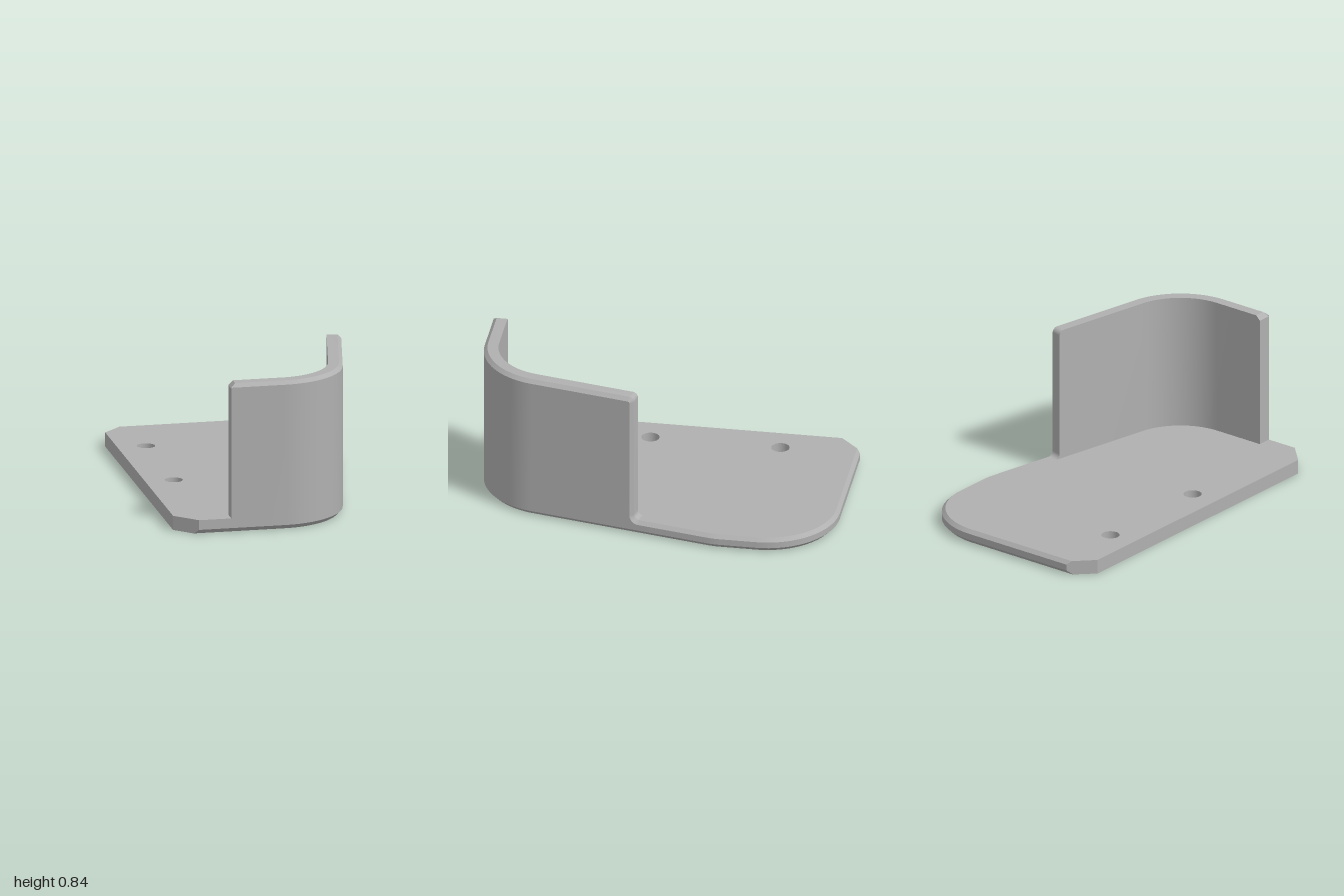
import * as THREE from 'three';
import { toCreasedNormals } from 'three/addons/utils/BufferGeometryUtils.js';

const T = 0.08;            // plate and wall thickness
const TILT = Math.atan(0.2);
const WALL_START = 0.18, WALL_END = 1.623; // wall extent along the outline

// Outline from the front left corner, round the right side, to the back left corner
const line = (x0, z0, x1, z1) => {
  const len = Math.hypot(x1 - x0, z1 - z0);
  const n = [-(z1 - z0) / len, (x1 - x0) / len];
  return { len, at: t => ({ p: [x0 + (x1 - x0) * t, z0 + (z1 - z0) * t], n }) };
};
const arc = (cx, cz, r, a0, a1) => ({
  len: r * Math.abs(a1 - a0), curved: true,
  at: t => {
    const a = a0 + (a1 - a0) * t, n = [Math.cos(a), Math.sin(a)];
    return { p: [cx + r * n[0], cz + r * n[1]], n };
  },
});
const c = 0.4 * Math.cos(TILT), k = 0.4 * Math.sin(TILT);
const pieces = [
  line(-0.48, 1, 0, 1),
  arc(0, 0.6, 0.4, Math.PI / 2, TILT),
  line(c, 0.6 + k, 0.2 + c, -0.4 + k),
  arc(0.2, -0.4, 0.4, TILT, 0),
  line(0.6, -0.4, 0.6, -0.6),
  arc(0.2, -0.6, 0.4, 0, -Math.PI / 2),
  line(0.2, -1, -0.48, -1),
];
const TOTAL = pieces.reduce((sum, p) => sum + p.len, 0);

// Point at distance s along the outline, inset by d, at height y
function point(s, d, y) {
  if (s <= 0) return [-0.48 - d, y, 1 - d];
  if (s >= TOTAL - 1e-9) return [-0.48 - d, y, -1 + d];
  let i = 0;
  while (i < pieces.length - 1 && s > pieces[i].len) s -= pieces[i++].len;
  const { p, n } = pieces[i].at(s / pieces[i].len);
  return [p[0] - n[0] * d, y, p[1] - n[1] * d];
}

// Stations along the outline, dense on the curves
const stations = [0];
let run = 0;
for (const p of pieces) {
  const steps = p.curved ? Math.max(4, Math.round(p.len * 40)) : 1;
  for (let i = 1; i <= steps; i++) stations.push(run + p.len * i / steps);
  run += p.len;
}

// Top contour: [inner s, inner y, outer s, outer y]; the gap between them is the bevel
function contour() {
  const out = [[0, T, 0, T], [WALL_START, T, WALL_START, T],
    [WALL_START, 0.815, WALL_START, 0.815], [WALL_START + 0.025, 0.84, WALL_START, 0.82]];
  for (const s of stations) {
    if (s > WALL_START + 0.03 && s < WALL_END - 0.03) out.push([s, 0.84, s, 0.82]);
  }
  const round = (cs, cy, ra, rb, a0, a1) => {
    for (let i = 0; i <= 8; i++) {
      const a = a0 + (a1 - a0) * i / 8, u = Math.cos(a), v = Math.sin(a);
      out.push([cs + ra * u, cy + ra * v, cs + rb * u, cy + rb * v]);
    }
  };
  round(WALL_END - 0.03, 0.81, 0.03, 0.01, Math.PI / 2, 0);
  round(WALL_END + 0.03, T + 0.03, 0.03, 0.05, Math.PI, Math.PI * 1.5);
  const split = out.length - 1;
  for (const s of stations) if (s > WALL_END + 0.04) out.push([s, T, s, 0.06]);
  return { out, split };
}

// Collects polygons and turns them into a geometry with sharp bevels and smooth curves
function polygons() {
  const pos = [];
  const v = a => new THREE.Vector3(...a);
  const fan = pts => {
    for (let i = 1; i < pts.length - 1; i++) {
      const tri = [pts[0], pts[i], pts[i + 1]];
      const [p, q, r] = tri.map(v);
      if (q.sub(p).cross(r.sub(p)).length() > 1e-8) pos.push(...tri.flat());
    }
  };
  const build = () => {
    const g = new THREE.BufferGeometry();
    g.setAttribute('position', new THREE.Float32BufferAttribute(pos, 3));
    g.scale(100, 100, 100);
    return toCreasedNormals(g, 0.6).scale(0.01, 0.01, 0.01);
  };
  return { fan, build };
}

export function createModel() {
  const group = new THREE.Group();
  const grey = new THREE.MeshStandardMaterial({ color: 0xb0b0b0, side: THREE.DoubleSide });
  grey.name = 'grey';
  const add = (name, geometry) => {
    const mesh = new THREE.Mesh(geometry, grey);
    mesh.name = name;
    group.add(mesh);
    return mesh;
  };

  // Bracket skin: lower bevel, outer face, upper bevel, rim, inner face
  const { out, split } = contour();
  const rows = ([sa, ya, sb, yb]) => [
    point(sb, 0.025, 0), point(sb, 0, 0.025), point(sb, 0, yb),
    point(sa, 0.02, ya), point(sa, T, ya), point(sa, T, T),
  ];
  const skin = (name, from, to) => {
    const poly = polygons();
    for (let i = from; i < to; i++) {
      const a = rows(out[i]), b = rows(out[i + 1]);
      const flat = out[i][1] < T + 1e-6 && out[i + 1][1] < T + 1e-6;
      for (let j = 0; j < (flat ? 3 : 5); j++) poly.fan([a[j], b[j], b[j + 1], a[j + 1]]);
    }
    add(name, poly.build());
  };
  skin('wall', 0, split);
  skin('plateEdge', split, out.length - 1);

  // Straight left edge with its two cut corners
  const left = polygons();
  const fl = y => [-0.6, y, 0.88], bl = y => [-0.6, y, -0.88];
  left.fan([bl(0), fl(0), fl(T), bl(T)]);
  left.fan([fl(0), point(0, 0.025, 0), point(0, 0, 0.025), point(0, 0, T), fl(T)]);
  left.fan([bl(0), bl(T), point(TOTAL, 0.02, T), point(TOTAL, 0, 0.06),
    point(TOTAL, 0, 0.025), point(TOTAL, 0.025, 0)]);
  add('leftEdge', left.build());

  // Top and bottom of the plate, pierced by two screw holes
  const holes = [[-0.44, -0.565], [-0.44, 0.155]];
  const cap = (name, inset, y, dir) => {
    const pts = stations.map(s => point(s, inset, 0)).concat([bl(0), fl(0)]);
    const shape = new THREE.Shape(pts.map(p => new THREE.Vector2(p[0], p[2] * dir)));
    for (const [x, z] of holes) {
      shape.holes.push(new THREE.Path().absarc(x, z * dir, 0.05, 0, Math.PI * 2, true));
    }
    const g = new THREE.ShapeGeometry(shape, 16);
    g.rotateX(dir * Math.PI / 2);
    g.translate(0, y, 0);
    add(name, g);
  };
  cap('plateTop', 0.02, T, -1);
  cap('plateBottom', 0.025, 0, 1);

  // Hole walls
  for (const [x, z] of holes) {
    add('screwHole', new THREE.CylinderGeometry(0.05, 0.05, T, 32, 1, true)).position.set(x, T / 2, z);
  }
  return group;
}
